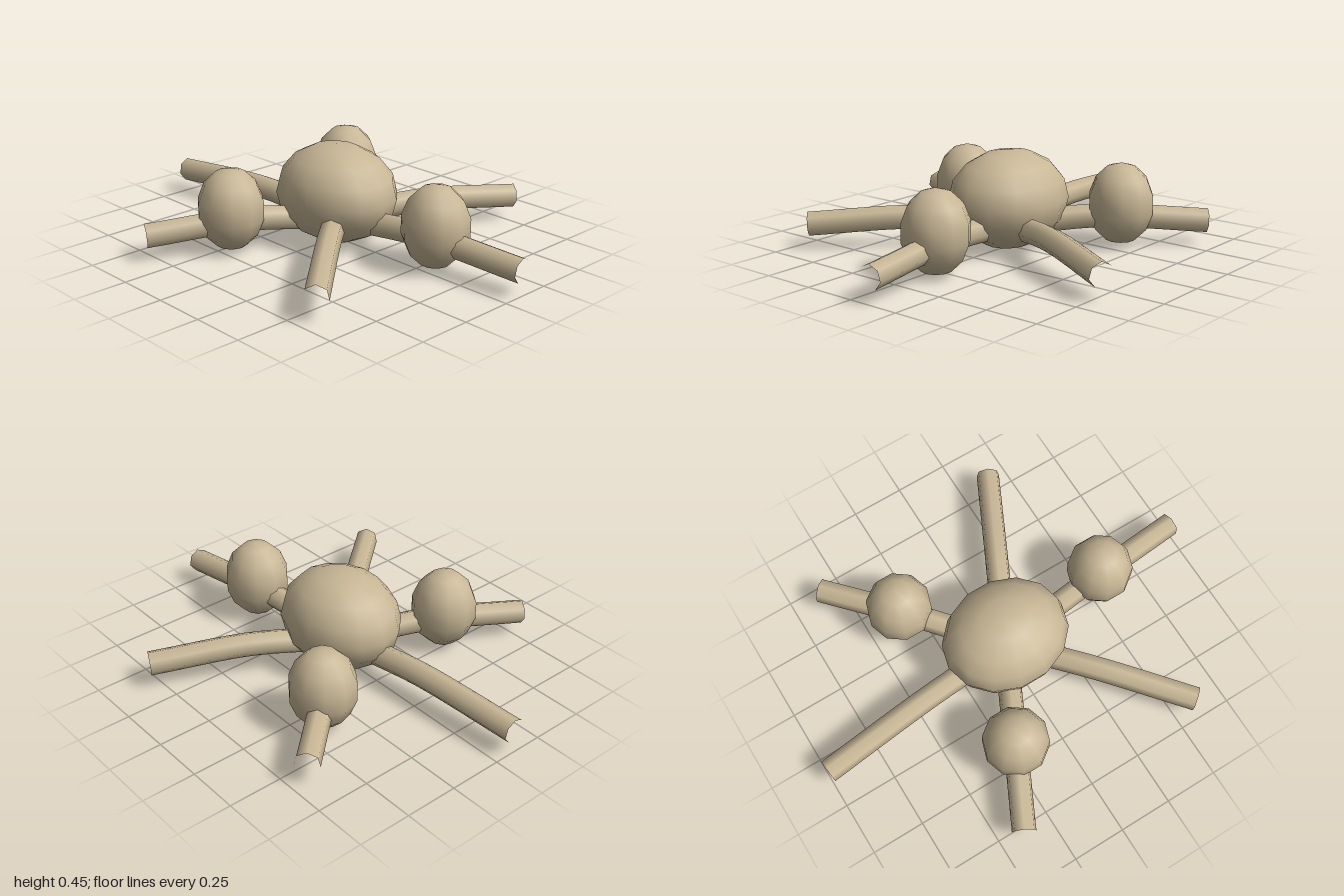
import * as THREE from 'three';

export function createModel() {
  const model = new THREE.Group();
  model.name = 'eggSpider';
  const tan = new THREE.MeshStandardMaterial({ color: 0xc8b796 });
  tan.name = 'tan';

  const add = (name, geometry) => {
    const mesh = new THREE.Mesh(geometry, tan);
    mesh.name = name;
    model.add(mesh);
    return mesh;
  };

  // Central body, a squashed low-poly ellipsoid
  const body = add('body', new THREE.SphereGeometry(1, 14, 8));
  body.scale.set(0.302, 0.227, 0.257);
  body.position.y = 0.233;

  // Limbs radiate from the body: heading in degrees, reach, distance to egg
  const limbs = [
    [6, 1.0, 0.558],
    [63.8, 0.882, 0],
    [131.2, 0.914, 0.514],
    [185.5, 1.0, 0],
    [243.6, 0.882, 0.494],
    [311.2, 0.914, 0],
  ];
  limbs.forEach(([degrees, reach, eggDistance], i) => {
    const a = THREE.MathUtils.degToRad(degrees);
    const at = (r, y) => new THREE.Vector3(r * Math.cos(a), y, -r * Math.sin(a));

    // Gently arched open tube
    const path = new THREE.CatmullRomCurve3([
      at(0.15, 0.126), at(reach * 0.48, 0.147), at(reach, 0.119),
    ]);
    add('limb' + (i + 1), new THREE.TubeGeometry(path, 10, 0.056, 7, false));

    // Egg threaded on every other limb
    if (eggDistance) {
      const egg = add('egg' + (i + 1), new THREE.SphereGeometry(1, 10, 7));
      egg.scale.set(0.155, 0.19, 0.155);
      egg.position.copy(at(eggDistance, 0.204));
    }
  });

  return model;
}
